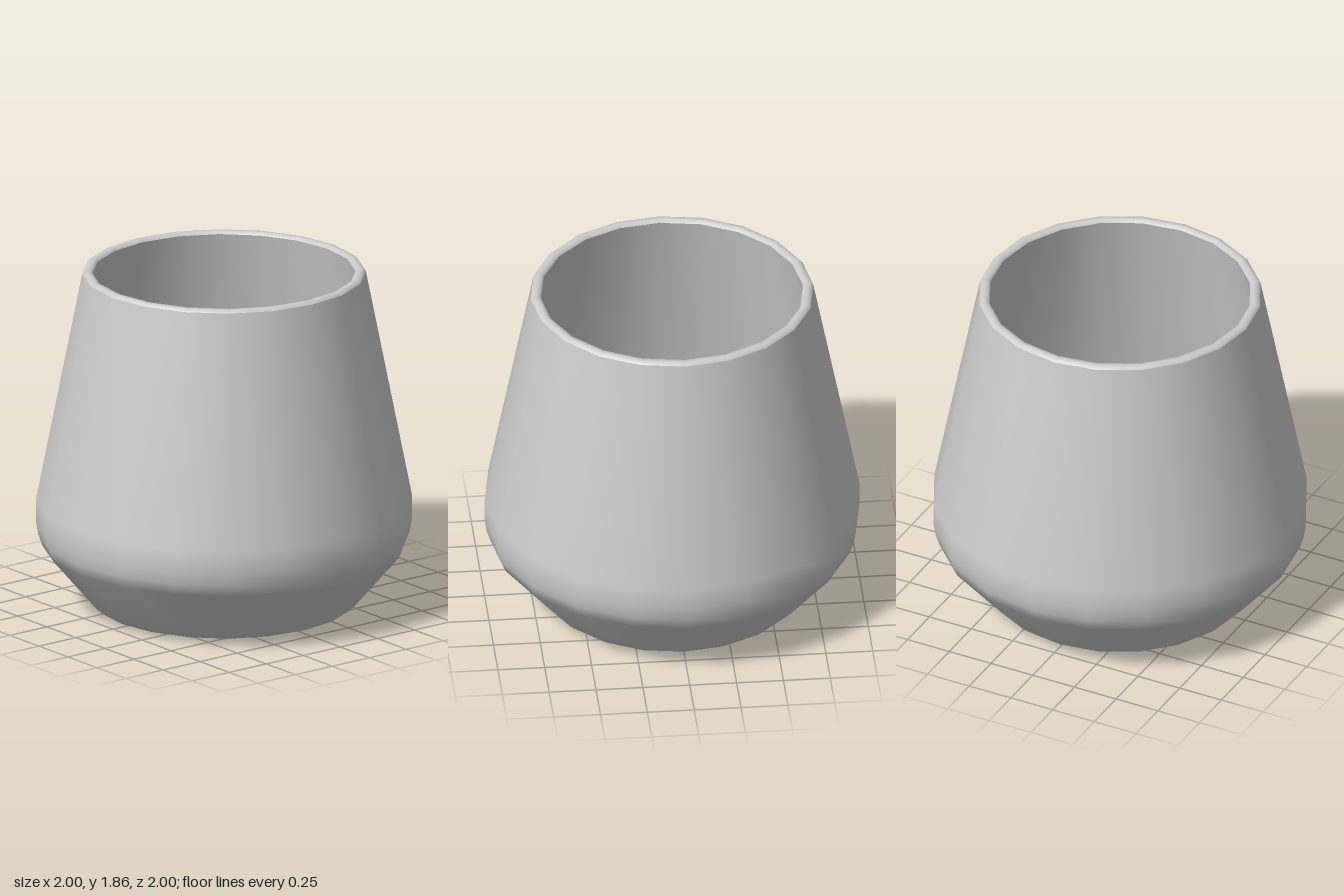
import * as THREE from 'three';

const SIDES = 20;

// Turn an [radius, height] profile around the y axis
function turned(name, profile, material) {
  const points = profile.map(([r, y]) => new THREE.Vector2(r, y));
  const mesh = new THREE.Mesh(new THREE.LatheGeometry(points, SIDES), material);
  mesh.name = name;
  return mesh;
}

export function createModel() {
  const material = new THREE.MeshStandardMaterial({ color: 0xcccccc });
  const group = new THREE.Group();
  group.name = 'tumbler';

  // Hollow underside, foot ring, flared lower wall and tapering upper wall
  const outside = [
    [0, 0.1], [0.25, 0.092], [0.42, 0.075], [0.53, 0.045], [0.58, 0.015], [0.62, 0],
    [0.65, 0.004], [0.69, 0.018], [0.72, 0.045],
    [0.965, 0.335], [0.988, 0.4], [1, 0.47], [1, 0.59],
    [0.76, 1.81], [0.754, 1.84],
  ];
  // Softly rounded lip
  const lip = [[0.754, 1.84], [0.743, 1.853], [0.725, 1.855], [0.707, 1.853], [0.698, 1.84]];
  // Inner wall down to a shallow bowl floor
  const inside = [
    [0.698, 1.84], [0.704, 1.81],
    [0.95, 0.58], [0.95, 0.49], [0.92, 0.37], [0.7, 0.12],
    [0.64, 0.105], [0.5, 0.115], [0.25, 0.13], [0, 0.135],
  ];

  group.add(
    turned('outerWall', outside, material),
    turned('lip', lip, material),
    turned('innerWall', inside, material),
  );
  return group;
}
